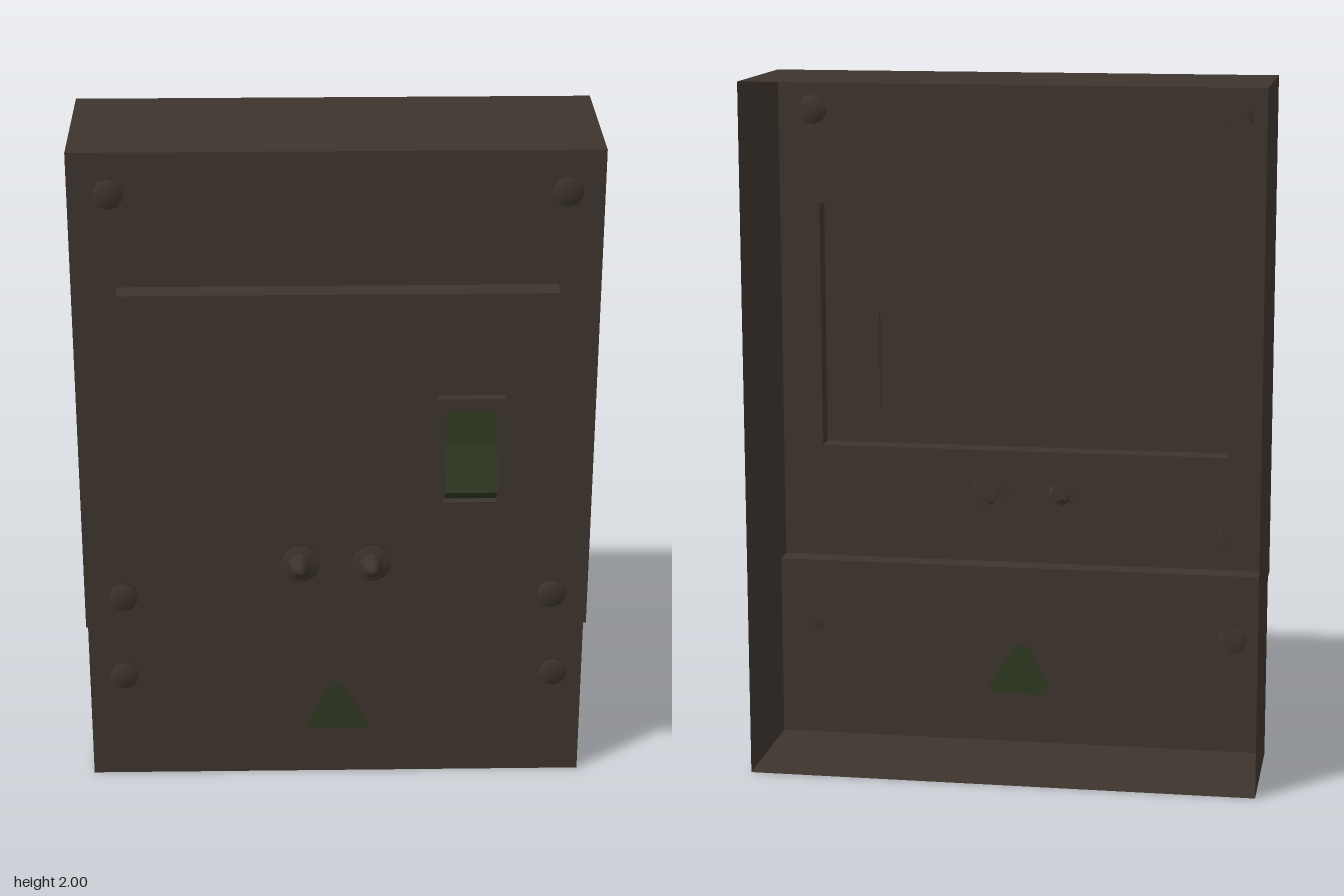
import * as THREE from 'three';
import { mergeGeometries, mergeVertices } from 'three/addons/utils/BufferGeometryUtils.js';

const brown = new THREE.MeshStandardMaterial({ color: 0x3d342d, side: THREE.DoubleSide });
brown.name = 'dark brown enamel';
const green = new THREE.MeshStandardMaterial({ color: 0x2e3721, side: THREE.DoubleSide });
green.name = 'dark green';

const X = 0.732, BACK = -0.31, FRONT = 0.155, LOW = 0.09, RAISED = 0.22;

function add(parent, name, geometry, material = brown) {
  const mesh = new THREE.Mesh(geometry, material);
  mesh.name = name;
  parent.add(mesh);
  return mesh;
}

// Rectangular outline
function rect(x0, x1, y0, y1, Type = THREE.Shape) {
  return new Type([[x0, y0], [x1, y0], [x1, y1], [x0, y1]].map(p => new THREE.Vector2(...p)));
}

// Flat sheet facing +z, with an optional rectangular opening
function sheet(box, z, hole) {
  const s = rect(...box);
  if (hole) s.holes.push(rect(...hole, THREE.Path));
  return new THREE.ShapeGeometry(s).translate(0, 0, z);
}

// Four-cornered face, corners counter-clockwise from outside
function quad(a, b, c, d) {
  const g = new THREE.BufferGeometry();
  g.setAttribute('position', new THREE.Float32BufferAttribute([...a, ...b, ...c, ...d], 3));
  g.setAttribute('uv', new THREE.Float32BufferAttribute([0, 0, 1, 0, 1, 1, 0, 1], 2));
  g.setIndex([0, 1, 2, 0, 2, 3]);
  g.computeVertexNormals();
  return g;
}

// Four side walls of a tray, open at front and back
function rim([x0, x1, y0, y1], z0, z1) {
  const c = [[x0, y0], [x1, y0], [x1, y1], [x0, y1]];
  return mergeGeometries(c.map((p, i) => {
    const q = c[(i + 1) % 4];
    return quad([...p, z0], [...q, z0], [...q, z1], [...p, z1]);
  }));
}

// Solid with a (z, y) side profile, extruded between x0 and x1
function prism(profile, x0, x1) {
  const s = new THREE.Shape(profile.map(([z, y]) => new THREE.Vector2(-z, y)));
  return new THREE.ExtrudeGeometry(s, { depth: x1 - x0, bevelEnabled: false })
    .rotateY(Math.PI / 2).translate(x0, 0, 0);
}

// Softly shaded short cylinder along z
function disc(rTop, rBase, depth, sides) {
  const g = new THREE.CylinderGeometry(rTop, rBase, depth, sides)
    .rotateX(Math.PI / 2).translate(0, 0, depth / 2);
  g.deleteAttribute('normal');
  g.deleteAttribute('uv');
  const merged = mergeVertices(g);
  merged.computeVertexNormals();
  return merged;
}

export function createModel() {
  const model = new THREE.Group();
  model.name = 'switchBox';

  // Open-backed housing with a recessed lower front
  const raised = [-0.605, 0.613, 0.88, 1.61];
  const opening = [0.3, 0.45, 0.985, 1.27];
  const side = [[BACK, 0], [LOW, 0], [LOW, 0.54], [FRONT, 0.54], [FRONT, 2], [BACK, 2]];
  for (const s of [1, -1]) {
    const shape = new THREE.Shape(side.map(([z, y]) => new THREE.Vector2(-s * z, y)));
    add(model, s > 0 ? 'leftWall' : 'rightWall',
      new THREE.ShapeGeometry(shape).rotateY(s * Math.PI / 2).translate(s * X, 0, 0));
  }
  const shelf = (y, z0, z1, up) => up
    ? quad([-X, y, z1], [X, y, z1], [X, y, z0], [-X, y, z0])
    : quad([-X, y, z0], [X, y, z0], [X, y, z1], [-X, y, z1]);
  add(model, 'topWall', shelf(2, BACK, FRONT, true));
  add(model, 'bottomWall', shelf(0, BACK, LOW, false));
  add(model, 'frontStep', shelf(0.54, LOW, FRONT, false));
  add(model, 'upperFront', sheet([-X, X, 0.54, 2], FRONT, raised));
  add(model, 'lowerFront', sheet([-X, X, 0, 0.54], LOW));

  // Raised hollow panel
  add(model, 'raisedPanelRim', rim(raised, FRONT, RAISED));
  add(model, 'raisedPanelFace', sheet(raised, RAISED, opening));

  // Rocker switch in a rectangular bezel
  const rocker = new THREE.Group();
  rocker.name = 'rockerSwitch';
  model.add(rocker);
  const bezel = rect(0.28, 0.47, 0.97, 1.305);
  bezel.holes.push(rect(...opening, THREE.Path));
  add(rocker, 'rockerBezel',
    new THREE.ExtrudeGeometry(bezel, { depth: 0.026, bevelEnabled: false }).translate(0, 0, RAISED));
  add(rocker, 'rockerKey', prism(
    [[0.238, 1.27], [0.25, 1.17], [0.308, 1.045], [0.24, 0.995], [0.225, 0.995]], 0.302, 0.448), green);
  add(rocker, 'rockerBack', quad(
    [0.3, 0.985, 0.222], [0.45, 0.985, 0.222], [0.45, 1.27, 0.236], [0.3, 1.27, 0.236]));

  // Two toggle switches with tilted levers
  for (const x of [-0.105, 0.102]) {
    const toggle = new THREE.Group();
    toggle.name = 'toggleSwitch';
    toggle.position.set(x, 0.75, FRONT);
    add(toggle, 'toggleWasher', disc(0.057, 0.057, 0.015, 16));
    add(toggle, 'toggleNut', disc(0.036, 0.036, 0.034, 6));
    add(toggle, 'toggleCollar', disc(0.022, 0.026, 0.058, 12));
    const profile = [[0, 0], [0.012, 0], [0.013, 0.05], [0.018, 0.095], [0.017, 0.113], [0.01, 0.12], [0, 0.122]];
    const lever = add(toggle, 'toggleLever',
      new THREE.LatheGeometry(profile.map(p => new THREE.Vector2(...p)), 12));
    lever.position.set(0, 0, 0.045);
    lever.rotation.x = THREE.MathUtils.degToRad(63);
    model.add(toggle);
  }

  // Screw heads
  const screws = [
    [-0.62, 1.885, FRONT], [0.63, 1.885, FRONT], [-0.62, 0.645, FRONT],
    [0.625, 0.645, FRONT], [-0.63, 0.345, LOW], [0.645, 0.345, LOW],
  ];
  for (const p of screws) add(model, 'screwHead', disc(0.043, 0.043, 0.015, 10)).position.set(...p);

  // Warning triangle with clipped corners, showing on both faces of the sheet
  const tri = [[-0.07, 0.15], [0.085, 0.15], [0.097, 0.172], [0.025, 0.288], [0.007, 0.302],
    [-0.013, 0.302], [-0.025, 0.288], [-0.085, 0.172]];
  add(model, 'warningTriangle', new THREE.ExtrudeGeometry(
    new THREE.Shape(tri.map(p => new THREE.Vector2(...p))),
    { depth: 0.006, bevelEnabled: false }).translate(0, 0, LOW - 0.003), green);

  return model;
}
